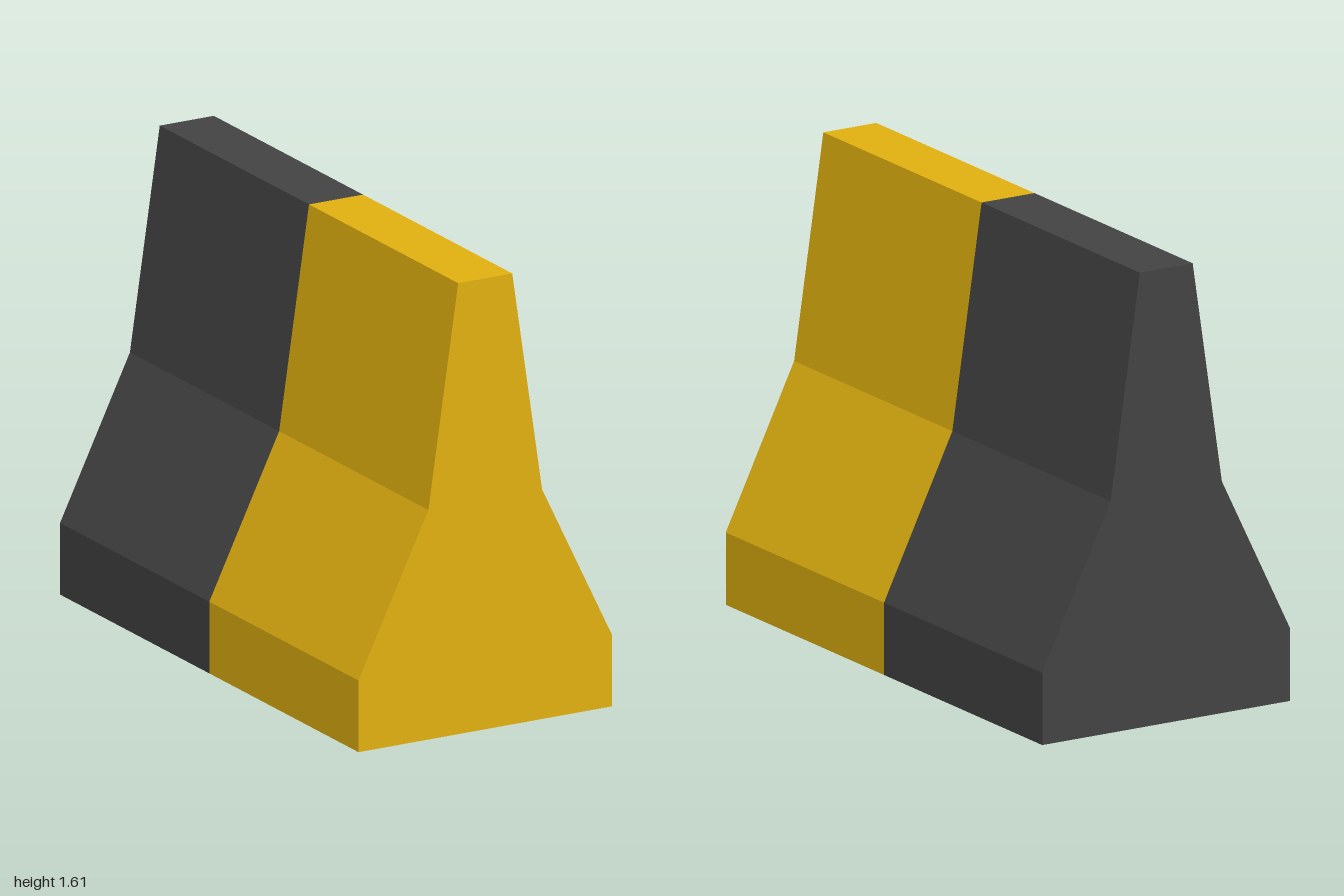
import * as THREE from 'three';

// Right half of the barrier cross-section, bottom to top: [x, y]
const PROFILE = [[0.497, 0], [0.497, 0.255], [0.223, 0.817], [0.106, 1.605]];
const LENGTH = 2;

export function createModel() {
  const yellow = new THREE.MeshStandardMaterial({ color: 0xe0b010 });
  yellow.name = 'safetyYellow';
  const charcoal = new THREE.MeshStandardMaterial({ color: 0x434343 });
  charcoal.name = 'charcoal';

  // Mirrored profile, extruded in two steps so the colours meet at the middle
  const mirrored = PROFILE.map(([x, y]) => [-x, y]).reverse();
  const shape = new THREE.Shape([...PROFILE, ...mirrored].map(([x, y]) => new THREE.Vector2(x, y)));
  const geometry = new THREE.ExtrudeGeometry(shape, { depth: LENGTH, steps: 2, bevelEnabled: false });
  geometry.translate(0, 0, -LENGTH / 2);

  // Front half yellow, back half charcoal, chosen per triangle
  geometry.clearGroups();
  const pos = geometry.attributes.position;
  for (let i = 0; i < pos.count; i += 3) {
    const z = pos.getZ(i) + pos.getZ(i + 1) + pos.getZ(i + 2);
    geometry.addGroup(i, 3, z > 0 ? 0 : 1);
  }

  const barrier = new THREE.Mesh(geometry, [yellow, charcoal]);
  barrier.name = 'barrierBody';
  const model = new THREE.Group();
  model.name = 'roadBarrier';
  model.add(barrier);
  return model;
}
